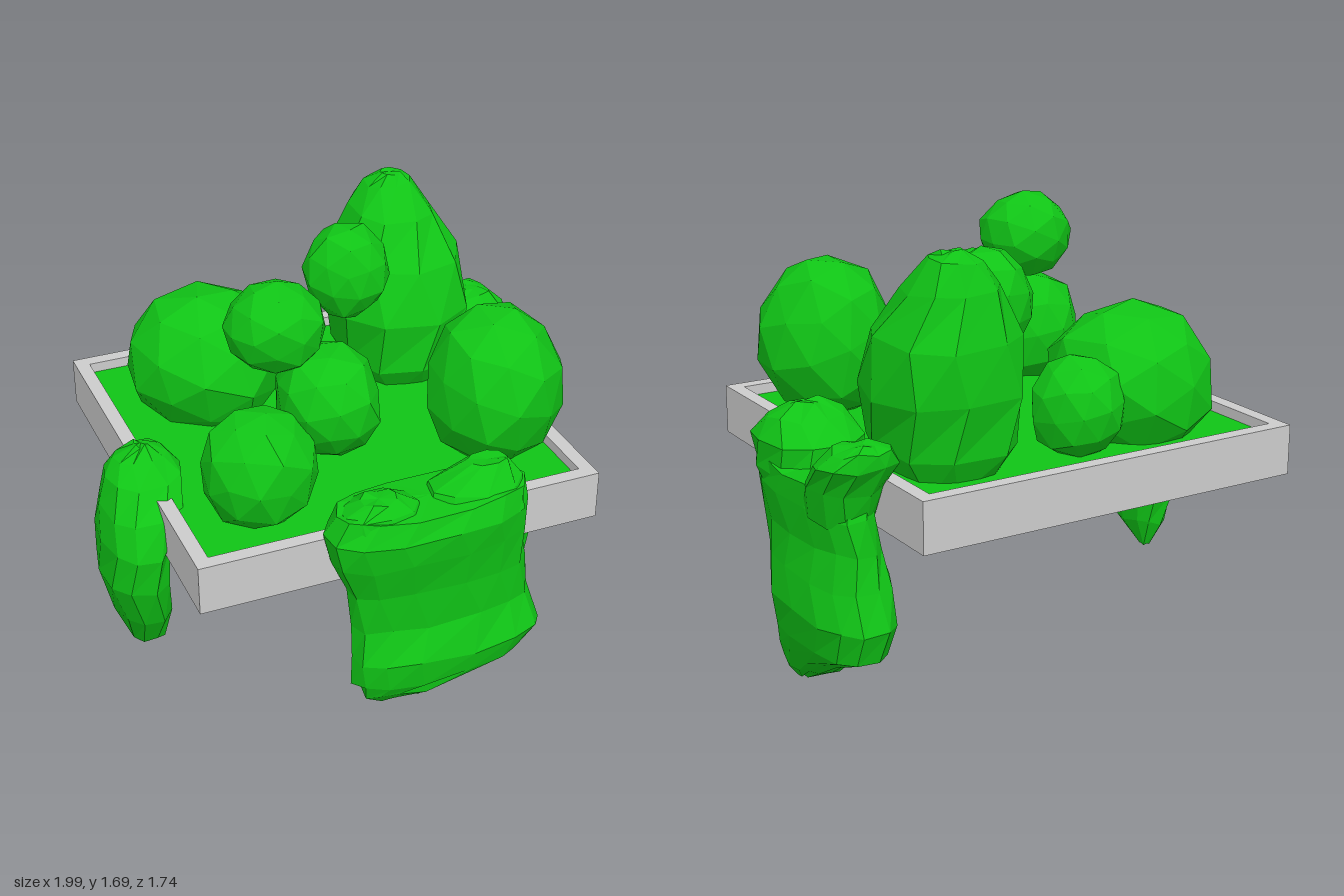
import * as THREE from 'three';

const green = new THREE.MeshStandardMaterial({ color: 0x10c416, flatShading: true });
const grey = new THREE.MeshStandardMaterial({ color: 0xcccccc, flatShading: true });

// Repeatable offset in -1..1 that depends only on position
const noise = (x, y, z) => {
  const s = Math.sin(x * 127.1 + y * 311.7 + z * 74.7) * 4375.85;
  return (s - Math.floor(s)) * 2 - 1;
};

function add(parent, name, geometry, material) {
  const mesh = new THREE.Mesh(geometry, material);
  mesh.name = name;
  parent.add(mesh);
  return mesh;
}

// Faceted bush: a slightly irregular, stretched icosphere
function bush(parent, name, [x, y, z], [rx, ry, rz], turn) {
  const g = new THREE.IcosahedronGeometry(1, 1);
  const p = g.attributes.position;
  const v = new THREE.Vector3();
  for (let i = 0; i < p.count; i++) {
    v.fromBufferAttribute(p, i);
    const q = v.toArray().map((c) => Math.round(c * 100) / 100 + turn);
    v.multiplyScalar(1.02 + 0.05 * noise(...q));
    v.applyAxisAngle(new THREE.Vector3(0.4, 0.8, 0.45).normalize(), turn);
    p.setXYZ(i, x + v.x * rx, y + v.y * ry, z + v.z * rz);
  }
  g.computeVertexNormals();
  add(parent, name, g, green);
}

// Faceted lump through rounded sections [y, xMin, xMax, zMin, zMax], bottom to top
function lump(parent, name, rows, sides = 12) {
  const pos = [], idx = [];
  const round = (c) => Math.sign(c) * Math.abs(c) ** 0.82;
  rows.forEach(([y, x0, x1, z0, z1], i) => {
    for (let j = 0; j < sides; j++) {
      const t = ((j + 0.25 * (i % 2)) / sides) * Math.PI * 2;
      const k = 1 + 0.035 * noise(i, j, y);
      pos.push(
        (x0 + x1) / 2 + ((x1 - x0) / 2) * round(Math.cos(t)) * k,
        y + 0.012 * noise(j, i, x0),
        (z0 + z1) / 2 + ((z1 - z0) / 2) * round(Math.sin(t)) * k
      );
    }
  });
  const n = rows.length;
  const bottom = n * sides, top = bottom + 1;
  for (const [y, x0, x1, z0, z1] of [rows[0], rows[n - 1]]) pos.push((x0 + x1) / 2, y, (z0 + z1) / 2);
  for (let j = 0; j < sides; j++) {
    const k = (j + 1) % sides;
    for (let i = 0; i < n - 1; i++) {
      const a = i * sides + j, b = i * sides + k;
      idx.push(a, a + sides, b, b, a + sides, b + sides);
    }
    idx.push(bottom, j, k, top, (n - 1) * sides + k, (n - 1) * sides + j);
  }
  const g = new THREE.BufferGeometry();
  g.setAttribute('position', new THREE.Float32BufferAttribute(pos, 3));
  g.setIndex(idx);
  g.computeVertexNormals();
  add(parent, name, g, green);
}

// Square planter tray with a raised rim and green bed
function tray(parent) {
  const size = 1.555, rim = 0.055, h = size / 2, r = h - rim;
  const group = new THREE.Group();
  group.name = 'tray';
  group.position.set(-0.022, 0.75, -0.098);
  const square = (Path, s) => new Path([[-s, -s], [s, -s], [s, s], [-s, s]].map((c) => new THREE.Vector2(...c)));
  const frame = square(THREE.Shape, h);
  frame.holes.push(square(THREE.Path, r));
  const g = new THREE.ExtrudeGeometry(frame, { depth: 0.19, bevelEnabled: false });
  g.rotateX(-Math.PI / 2);
  add(group, 'trayRim', g, grey);
  add(group, 'trayBase', new THREE.BoxGeometry(r * 2, 0.06, r * 2), grey).position.y = 0.03;
  add(group, 'greenBed', new THREE.BoxGeometry(r * 2, 0.09, r * 2), green).position.y = 0.105;
  parent.add(group);
}

export function createModel() {
  const model = new THREE.Group();
  model.name = 'planter';
  tray(model);

  // Bushes on the bed
  const bushes = new THREE.Group();
  bushes.name = 'bushes';
  bush(bushes, 'backRightBush', [-0.37, 1.08, -0.46], [0.31, 0.29, 0.31], 0.3);
  bush(bushes, 'backSmallBush', [-0.04, 1.06, -0.6], [0.17, 0.19, 0.17], 0.9);
  bush(bushes, 'backRaisedBush', [0.165, 1.42, -0.32], [0.165, 0.19, 0.165], 1.4);
  bush(bushes, 'frontLeftBush', [0.49, 1.19, 0.32], [0.255, 0.31, 0.255], 0.6);
  bush(bushes, 'frontRightBush', [-0.46, 1.09, 0.38], [0.21, 0.23, 0.2], 2.1);
  bush(bushes, 'frontMiddleBush', [-0.16, 1.25, 0.28], [0.19, 0.21, 0.22], 2.7);
  bush(bushes, 'frontTopBush', [-0.31, 1.52, 0.17], [0.18, 0.17, 0.175], 3.3);
  lump(bushes, 'tallBackBush', [
    [0.83, 0.3, 0.6, -0.65, -0.28],
    [0.98, 0.2, 0.69, -0.74, -0.18],
    [1.18, 0.17, 0.72, -0.77, -0.18],
    [1.38, 0.2, 0.7, -0.76, -0.25],
    [1.55, 0.29, 0.61, -0.71, -0.37],
    [1.65, 0.36, 0.54, -0.66, -0.48],
    [1.68, 0.42, 0.5, -0.6, -0.54],
  ], 9);
  model.add(bushes);

  // Foliage hanging over three edges of the tray
  const hanging = new THREE.Group();
  hanging.name = 'hangingFoliage';
  lump(hanging, 'frontDrape', [
    [0.2, -0.14, 0.04, 0.67, 0.76],
    [0.25, -0.21, 0.17, 0.63, 0.81],
    [0.31, -0.24, 0.42, 0.6, 0.84],
    [0.41, -0.25, 0.5, 0.59, 0.86],
    [0.54, -0.23, 0.47, 0.59, 0.81],
    [0.7, -0.25, 0.44, 0.57, 0.82],
    [0.85, -0.33, 0.42, 0.56, 0.85],
    [0.96, -0.34, 0.42, 0.55, 0.87],
    [1.04, -0.3, 0.42, 0.56, 0.84],
  ], 14);
  lump(hanging, 'frontDrapeRightLobe', [
    [0.95, -0.3, 0.05, 0.58, 0.84],
    [1.04, -0.28, 0, 0.6, 0.81],
    [1.08, -0.21, -0.08, 0.66, 0.76],
  ], 9);
  lump(hanging, 'frontDrapeLeftLobe', [
    [0.95, 0.02, 0.42, 0.57, 0.84],
    [1.05, 0.06, 0.41, 0.58, 0.8],
    [1.11, 0.22, 0.37, 0.62, 0.72],
  ], 9);
  lump(hanging, 'rightDrape', [
    [0.18, -0.84, -0.8, -0.01, 0.03],
    [0.28, -0.9, -0.76, -0.06, 0.18],
    [0.42, -0.95, -0.74, -0.08, 0.27],
    [0.6, -1.0, -0.75, -0.09, 0.33],
    [0.76, -0.99, -0.75, -0.09, 0.345],
    [0.88, -0.97, -0.68, -0.08, 0.3],
    [0.98, -0.94, -0.66, -0.07, 0.2],
    [1.04, -0.9, -0.7, -0.03, 0.13],
    [1.08, -0.82, -0.77, 0.02, 0.07],
  ], 10);
  lump(hanging, 'leftDrape', [
    [0.01, 0.77, 0.83, -0.09, -0.03],
    [0.1, 0.73, 0.9, -0.28, -0.01],
    [0.2, 0.71, 0.94, -0.44, -0.01],
    [0.29, 0.7, 0.97, -0.66, -0.02],
    [0.42, 0.68, 1.0, -0.71, -0.02],
    [0.55, 0.68, 0.98, -0.66, 0],
    [0.68, 0.71, 0.96, -0.63, 0.04],
    [0.8, 0.73, 0.97, -0.63, 0.09],
    [0.9, 0.72, 0.97, -0.6, 0.08],
  ], 14);
  lump(hanging, 'leftDrapeFrontLobe', [
    [0.74, 0.66, 0.93, -0.26, 0.04],
    [0.86, 0.6, 0.97, -0.31, 0.1],
    [0.97, 0.59, 0.98, -0.3, 0.09],
    [1.05, 0.65, 0.93, -0.22, 0.02],
    [1.09, 0.74, 0.85, -0.14, -0.06],
  ], 10);
  lump(hanging, 'leftDrapeBackLobe', [
    [0.78, 0.75, 0.96, -0.6, -0.3],
    [0.9, 0.72, 0.98, -0.64, -0.36],
    [1.0, 0.7, 0.99, -0.7, -0.45],
    [1.06, 0.74, 0.94, -0.7, -0.53],
    [1.08, 0.8, 0.88, -0.66, -0.58],
  ], 10);
  model.add(hanging);
  return model;
}
